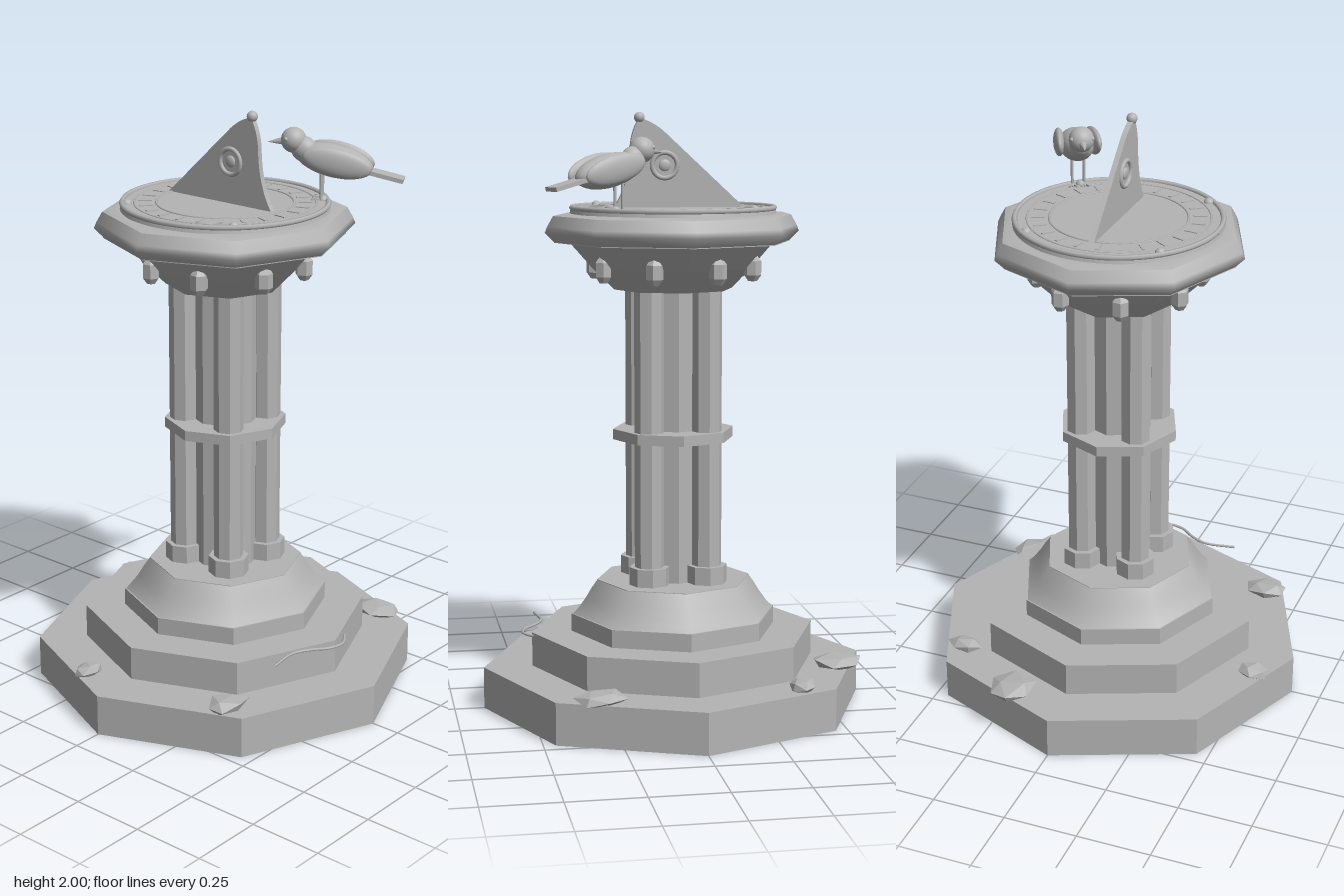
import * as THREE from 'three';

export function createModel() {
  const root = new THREE.Group();
  root.name = 'sundial';
  const stone = new THREE.MeshStandardMaterial({ color: 0xb4b4b4 });
  stone.name = 'grey stone';

  const add = (name, geo, x = 0, y = 0, z = 0, parent = root) => {
    const m = new THREE.Mesh(geo, stone);
    m.name = name;
    m.position.set(x, y, z);
    parent.add(m);
    return m;
  };
  // Faceted copy of a geometry, with one normal per face
  const flat = (geo) => {
    const g = geo.index ? geo.toNonIndexed() : geo;
    g.computeVertexNormals();
    return g;
  };
  const prism = (name, r, y0, y1, x = 0, z = 0, sides = 8) =>
    add(name, flat(new THREE.CylinderGeometry(r, r, y1 - y0, sides)), x, (y0 + y1) / 2, z);
  const lathe = (pts, sides) =>
    new THREE.LatheGeometry(pts.map(([r, y]) => new THREE.Vector2(r, y)), sides);
  const ring = (name, r, tube, y) => {
    const t = add(name, new THREE.TorusGeometry(r, tube, 6, 64), 0, y, 0);
    t.rotation.x = Math.PI / 2;
    return t;
  };

  // Octagonal steps and flared foot
  prism('lowerStep', 0.65, 0, 0.14);
  prism('middleStep', 0.485, 0.14, 0.255);
  prism('upperStep', 0.35, 0.255, 0.315);
  add('flaredFoot', lathe([[0.345, 0.315], [0.325, 0.335], [0.3, 0.37], [0.282, 0.4], [0.262, 0.428]], 8));
  prism('footTop', 0.262, 0.4, 0.43);

  // Clustered pillar
  prism('pillarCore', 0.115, 0.43, 1.42);
  for (const sx of [-1, 1]) for (const sz of [-1, 1]) {
    prism('pillarShaft', 0.05, 0.43, 1.42, sx * 0.0975, sz * 0.0975);
    prism('shaftCollar', 0.068, 0.43, 0.49, sx * 0.0975, sz * 0.0975);
  }
  prism('pillarBand', 0.205, 0.91, 0.945);

  // Capital and table slab
  add('capital', flat(lathe([[0, 1.415], [0.2, 1.415], [0.275, 1.49], [0.35, 1.575]], 8)));
  prism('slabUnderside', 0.4, 1.572, 1.58);
  add('slabEdge', lathe([[0.4, 1.575], [0.43, 1.605], [0.422, 1.625], [0.402, 1.66]], 8));
  add('slabTop', lathe([[0.402, 1.66], [0.37, 1.668], [0.3, 1.668], [0, 1.668]], 8));

  // Eight small bosses hung around the capital
  for (let i = 0; i < 8; i++) {
    const a = Math.PI / 8 + i * Math.PI / 4;
    const boss = add('capitalBoss',
      flat(lathe([[0, -0.045], [0.015, -0.045], [0.029, -0.025], [0.029, 0.022], [0.015, 0.04], [0, 0.04]], 6)),
      0.27 * Math.sin(a), 1.49, 0.27 * Math.cos(a));
    boss.rotation.y = a;
  }

  // Dial plate with rims, hour marks and studs
  const dial = new THREE.CylinderGeometry(0.34, 0.345, 0.02, 64);
  add('dialPlate', dial, 0, 1.676, 0);
  ring('dialRim', 0.337, 0.009, 1.686);
  ring('outerHourRing', 0.298, 0.003, 1.686);
  ring('innerHourRing', 0.225, 0.004, 1.686);
  for (let i = 0; i < 24; i++) {
    const a = (i + 0.5) * Math.PI / 12;
    const mark = add('hourMark', new THREE.BoxGeometry(0.012, 0.004, 0.045),
      0.262 * Math.sin(a), 1.687, 0.262 * Math.cos(a));
    mark.rotation.y = a;
  }
  for (const sx of [-1, 1]) for (const sz of [-1, 1])
    add('dialStud', new THREE.SphereGeometry(0.017, 16, 10), sx * 0.227, 1.684, sz * 0.227);

  // Gnomon: shape drawn in (z, y), extruded along x
  const fin = new THREE.Shape();
  fin.moveTo(-0.24, 1.684);
  fin.lineTo(0.03, 1.935);
  fin.quadraticCurveTo(0.07, 1.97, 0.115, 1.98);
  fin.quadraticCurveTo(0.145, 1.93, 0.145, 1.87);
  fin.quadraticCurveTo(0.15, 1.76, 0.2, 1.684);
  const finGeo = new THREE.ExtrudeGeometry(fin, { depth: 0.018, bevelEnabled: false, curveSegments: 8 });
  finGeo.translate(0, 0, -0.009).rotateY(-Math.PI / 2);
  add('gnomon', finGeo);
  add('gnomonFinial', new THREE.SphereGeometry(0.018, 16, 12), 0, 1.982, 0.113);
  for (const s of [-1, 1]) {
    const medal = add('medallionRing', new THREE.TorusGeometry(0.042, 0.008, 8, 32), s * 0.01, 1.825, 0.03);
    medal.rotation.y = Math.PI / 2;
    const core = add('medallionCentre', new THREE.SphereGeometry(0.02, 16, 10), s * 0.009, 1.825, 0.03);
    core.scale.x = 0.4;
  }

  // Perched bird, modelled facing its own +z
  const bird = new THREE.Group();
  bird.name = 'bird';
  bird.position.set(0.26, 1.815, 0.265);
  bird.rotation.y = Math.atan2(-0.5, -0.87);
  root.add(bird);
  const ball = (name, x, y, z, sx, sy, sz, pitch = 0, yaw = 0) => {
    const m = add(name, new THREE.SphereGeometry(1, 20, 14), x, y, z, bird);
    m.scale.set(sx, sy, sz);
    m.rotation.set(pitch, yaw, 0);
  };
  ball('body', 0, 0, 0.015, 0.058, 0.054, 0.13, -0.2);
  ball('neck', 0, 0.035, 0.115, 0.036, 0.042, 0.045, -0.5);
  ball('head', 0, 0.064, 0.15, 0.042, 0.042, 0.042);
  const beak = add('beak', new THREE.ConeGeometry(0.014, 0.055, 8), 0, 0.057, 0.21, bird);
  beak.rotation.x = Math.PI / 2 + 0.1;
  const tail = add('tail', new THREE.BoxGeometry(0.058, 0.014, 0.16), 0, -0.037, -0.135, bird);
  tail.rotation.x = -0.22;
  for (const s of [-1, 1]) {
    ball('wing', s * 0.057, 0.005, 0, 0.019, 0.046, 0.115, -0.22, s * 0.08);
    ball('eye', s * 0.034, 0.072, 0.17, 0.007, 0.007, 0.007);
    add('leg', new THREE.CylinderGeometry(0.005, 0.005, 0.1, 8), s * 0.02, -0.078, 0.055, bird);
    for (const t of [-0.45, 0, 0.45]) {
      const toe = add('toe', new THREE.BoxGeometry(0.006, 0.006, 0.035), s * 0.02 + 0.013 * Math.sin(t), -0.125, 0.068, bird);
      toe.rotation.y = t;
    }
  }

  // Loose stones: x, z, half width, half depth, turn
  const stones = [
    [0.18, -0.535, 0.08, 0.09, 0.2],
    [0.437, -0.352, 0.062, 0.047, 0.5],
    [-0.545, -0.14, 0.058, 0.042, 1.1],
    [-0.43, 0.372, 0.08, 0.058, 0.1],
    [0.472, 0.315, 0.078, 0.082, 0.8],
  ];
  stones.forEach(([x, z, w, d, turn], k) => {
    const g = new THREE.IcosahedronGeometry(1, 0);
    g.rotateY(turn);
    const p = g.attributes.position;
    for (let i = 0; i < p.count; i++) {
      const f = 1 + 0.12 * Math.sin(5 * p.getX(i) + 7 * p.getZ(i) + 3 * p.getY(i) + k * 2);
      p.setXYZ(i, p.getX(i) * f * w, p.getY(i) * f * 0.026, p.getZ(i) * f * d);
    }
    add('looseStone', flat(g), x, 0.152, z);
  });

  // Thin twig lying over the front edge of the middle step
  const path = new THREE.CatmullRomCurve3(
    [[-0.28, 0.448], [-0.17, 0.436], [-0.11, 0.463], [-0.055, 0.505], [0, 0.515], [0.052, 0.483]]
      .map(([x, z]) => new THREE.Vector3(x, 0.254, z)));
  add('twig', new THREE.TubeGeometry(path, 30, 0.005, 6));

  return root;
}
